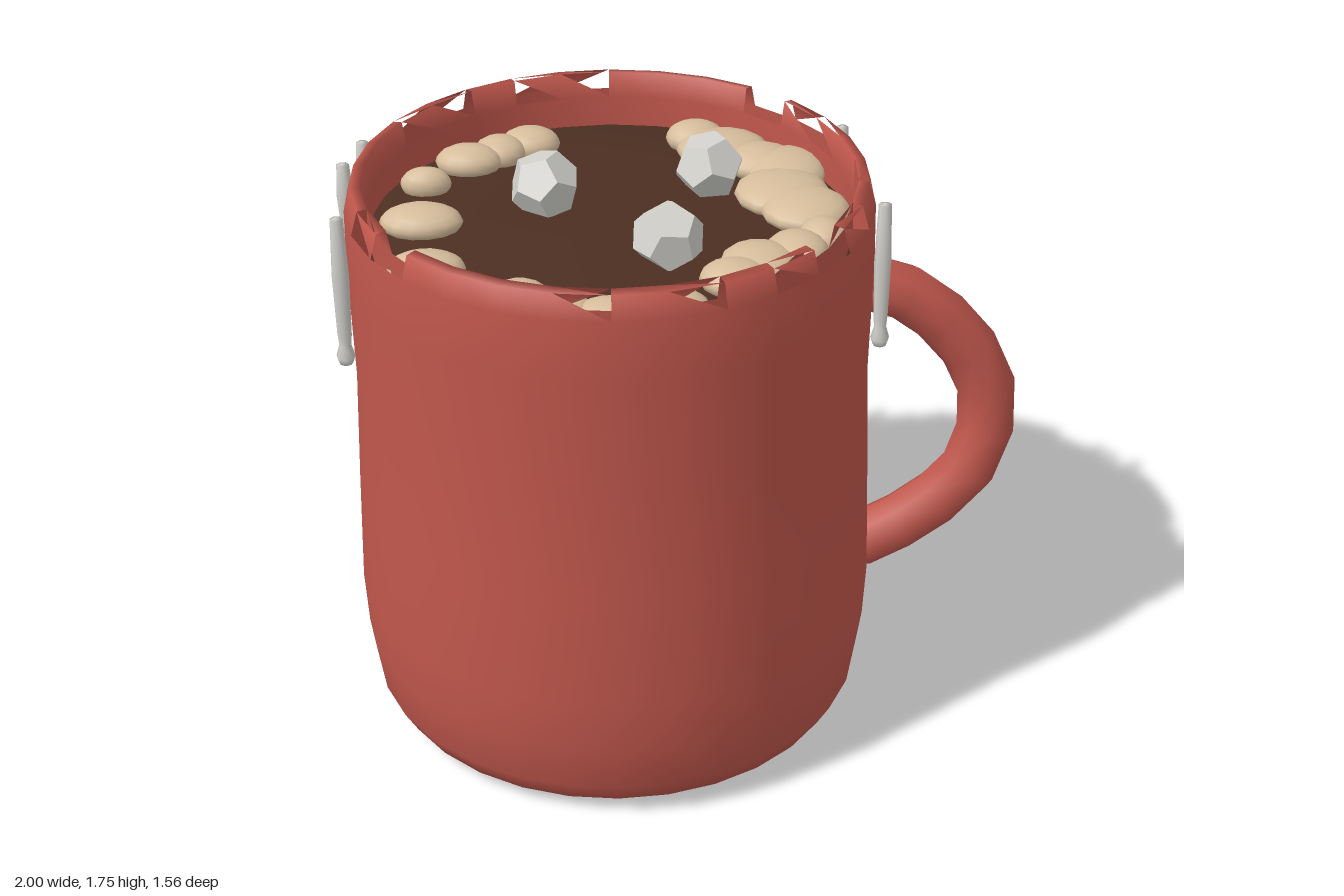
import * as THREE from 'three';

const mat = (name, color, opts = {}) => {
  const m = new THREE.MeshStandardMaterial({ color, ...opts });
  m.name = name;
  return m;
};

export function createModel() {
  const red = mat('red glaze', 0xc0574c, { side: THREE.DoubleSide });
  const cocoaBrown = mat('cocoa brown', 0x4d2f22);
  const cream = mat('foam cream', 0xd6bd9c);
  const white = mat('marshmallow white', 0xd2d1cc);

  const group = new THREE.Group();
  group.name = 'cocoaMug';
  const CX = -0.2; // axis of the cup
  const add = (name, geometry, material, x = 0, y = 0, z = 0, parent = group) => {
    const mesh = new THREE.Mesh(geometry, material);
    mesh.name = name;
    mesh.position.set(x, y, z);
    parent.add(mesh);
    return mesh;
  };
  const subgroup = (name) => {
    const g = new THREE.Group();
    g.name = name;
    group.add(g);
    return g;
  };

  // Cup: outer wall, rounded lip and inner wall in one profile
  const profile = [
    [0, 0.01], [0.5, 0.01], [0.63, 0.025], [0.7, 0.06], [0.74, 0.13], [0.763, 0.28],
    [0.772, 0.45], [0.762, 0.8], [0.75, 1.15], [0.758, 1.5], [0.755, 1.68],
    [0.735, 1.75], [0.705, 1.755], [0.69, 1.68], [0.695, 1.5],
  ].map(([r, y]) => new THREE.Vector2(r, y));
  const SEG = 30;
  const cup = new THREE.LatheGeometry(profile, SEG);
  // Chipped rim: leave out some faces of the lip; 1 or 2 = one triangle, 3 = both
  const chips = { 1: 2, 3: 1, 4: 3, 5: 2, 7: 1, 9: 2, 10: 1, 11: 3, 15: 1, 16: 2, 18: 1, 19: 2, 24: 1, 25: 3, 29: 2 };
  const rows = profile.length - 1;
  const kept = [];
  for (let s = 0; s < SEG; s++) {
    for (let r = 0; r < rows; r++) {
      for (let t = 0; t < 2; t++) {
        const onLip = r >= 10 && r <= 12;
        if (onLip && (chips[s] || 0) & (t + 1)) continue;
        const k = ((s * rows + r) * 2 + t) * 3;
        for (let c = 0; c < 3; c++) kept.push(cup.index.getX(k + c));
      }
    }
  }
  cup.setIndex(kept);
  add('cup', cup, red, CX);

  // Handle: bent tube with rounded ends
  const path = [
    [0.52, 1.4, 0], [0.63, 1.37, 0], [0.77, 1.265, -0.01], [0.89, 1.1, -0.01], [0.92, 0.95, 0],
    [0.87, 0.77, 0.02], [0.72, 0.61, 0.015], [0.55, 0.5, 0],
  ].map((p) => new THREE.Vector3(...p));
  const curve = new THREE.CatmullRomCurve3(path);
  add('handle', new THREE.TubeGeometry(curve, 9, 0.087, 8), red);
  for (const p of [path[0], path[path.length - 1]]) {
    add('handleEnd', new THREE.SphereGeometry(0.084, 8, 6), red, p.x, p.y, p.z);
  }

  // Cocoa surface with a softly turned edge
  const surface = [[0.697, 1.5], [0.695, 1.585], [0.4, 1.59], [0, 1.592]].map(([r, y]) => new THREE.Vector2(r, y));
  add('cocoa', new THREE.LatheGeometry(surface, 24), cocoaBrown, CX);

  // Foam: flattened blobs that run together, as [x, z, radius x, radius z]
  const foam = subgroup('foam');
  const blobs = [
    [-0.44, -0.51, 0.09, 0.075], [-0.53, -0.45, 0.08, 0.075], [-0.62, -0.39, 0.1, 0.075],
    [-0.74, -0.24, 0.075, 0.05], [-0.74, 0.01, 0.12, 0.085], [-0.71, 0.3, 0.11, 0.075],
    [-0.45, 0.49, 0.09, 0.09], [-0.34, 0.57, 0.1, 0.085], [-0.2, 0.59, 0.11, 0.08], [-0.03, 0.56, 0.1, 0.1],
    [0.14, 0.38, 0.1, 0.09], [0.21, 0.29, 0.11, 0.11], [0.32, 0.22, 0.09, 0.1], [0.4, 0.13, 0.07, 0.08],
    [0.06, -0.54, 0.09, 0.08], [0.14, -0.45, 0.14, 0.12], [0.25, -0.36, 0.11, 0.1],
    [0.32, -0.3, 0.12, 0.14], [0.3, -0.15, 0.14, 0.14], [0.36, -0.04, 0.13, 0.13],
  ];
  const ball = new THREE.SphereGeometry(1, 14, 10);
  for (const [x, z, rx, rz] of blobs) {
    add('foamBlob', ball, cream, x, 1.61, z, foam).scale.set(rx, 0.05, rz);
  }

  // Marshmallows
  const marshmallows = subgroup('marshmallows');
  const chunk = new THREE.DodecahedronGeometry(0.105);
  [[-0.39, -0.12], [0.09, -0.23], [-0.04, 0.22]].forEach(([x, z], i) => {
    add('marshmallow', chunk, white, x, 1.66, z, marshmallows).rotation.set(0.4 + i, 0.7 * i, 0.3);
  });

  // Drips: slim strands with a bead at the tip, as [x, z, tip height]
  const drips = subgroup('drips');
  const spots = [
    [0.57, 0.15, 1.26], [0.49, -0.37, 1.26], [0.07, -0.735, 1.26], [-0.385, -0.76, 1.4],
    [-0.925, -0.3, 1.39], [-0.97, -0.15, 1.46], [-0.96, 0.2, 1.25],
  ];
  for (const [x, z, tip] of spots) {
    const h = 1.72 - tip;
    const strand = [
      [0, 0], [0.02, 0.008], [0.028, 0.03], [0.018, 0.065], [0.021, 0.1], [0.025, h * 0.6], [0.019, h - 0.005], [0, h],
    ].map(([r, y]) => new THREE.Vector2(r, y));
    add('drip', new THREE.LatheGeometry(strand, 7), white, x, tip, z, drips);
  }

  return group;
}
